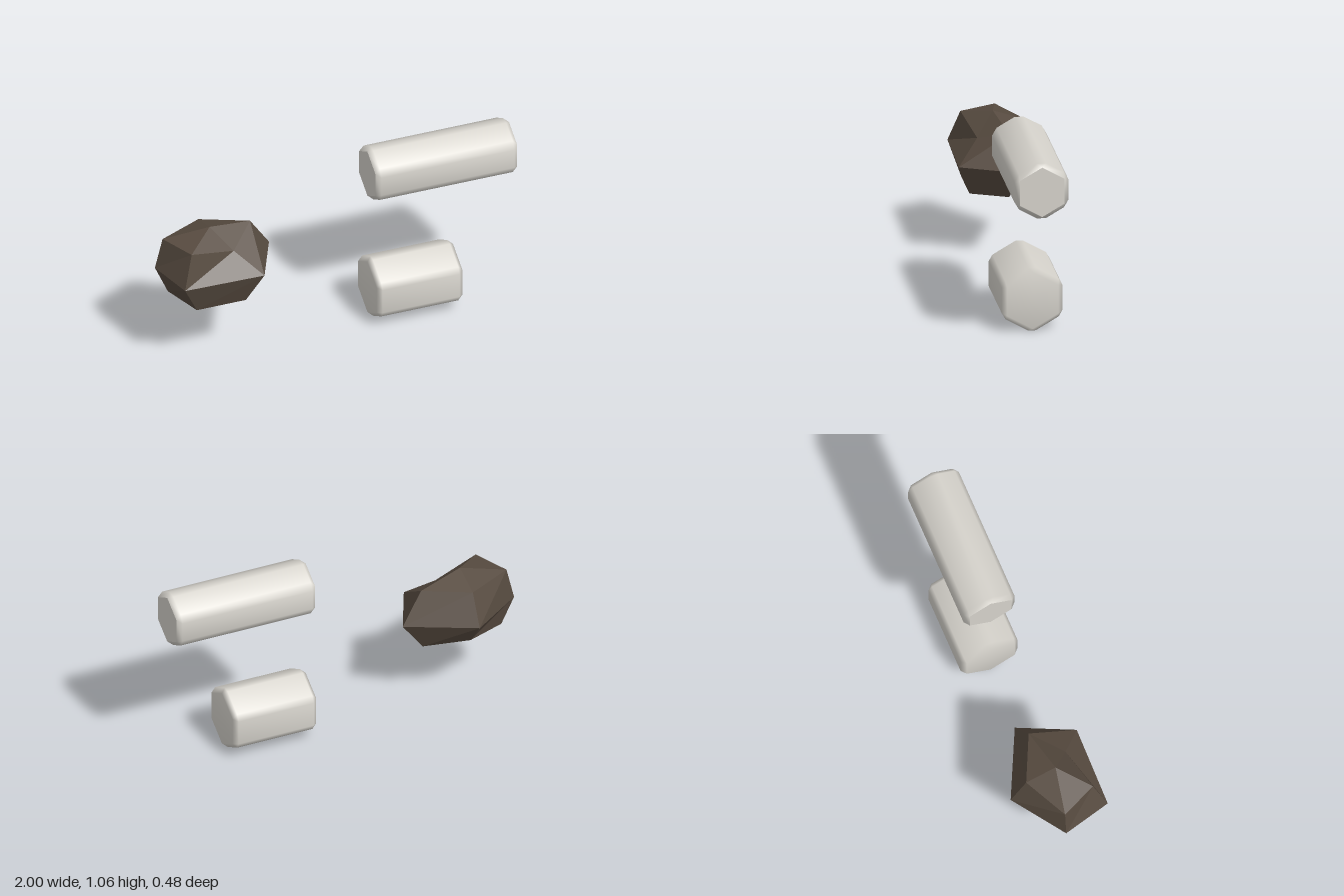
import * as THREE from 'three';
import { mergeVertices } from 'three/addons/utils/BufferGeometryUtils.js';

const stone = new THREE.MeshStandardMaterial({ color: 0xd6d3cc });
stone.name = 'pale stone';
const rockBrown = new THREE.MeshStandardMaterial({ color: 0x574b40, flatShading: true });
rockBrown.name = 'dark rock';

// Skin over rings of equal length, each running anticlockwise about the loft direction
function loft(rings) {
  const n = rings[0].length;
  const positions = [];
  const addTriangle = (a, b, c) => {
    if (a.equals(b) || b.equals(c) || c.equals(a)) return;
    for (const p of [a, b, c]) positions.push(p.x, p.y, p.z);
  };
  for (let r = 0; r < rings.length - 1; r++) {
    const lower = rings[r], upper = rings[r + 1];
    for (let i = 0; i < n; i++) {
      const j = (i + 1) % n;
      addTriangle(lower[i], lower[j], upper[j]);
      addTriangle(lower[i], upper[j], upper[i]);
    }
  }
  let geometry = new THREE.BufferGeometry();
  geometry.setAttribute('position', new THREE.Float32BufferAttribute(positions, 3));
  geometry = mergeVertices(geometry, 1e-4);
  geometry.computeVertexNormals();
  return geometry;
}

function addMesh(group, name, geometry, material) {
  const mesh = new THREE.Mesh(geometry, material);
  mesh.name = name;
  group.add(mesh);
}

// Hexagonal bar along x with bevelled corners and ends
function hexBar({ name, x0, x1, y, z, radius, capRadius, spread, sharpCaps }) {
  const bevel = 0.025;
  // Six corners, each split into two points by the angle "spread"
  const ring = (x, r, split) => {
    const points = [];
    for (let i = 0; i < 6; i++) {
      for (const side of [-1, 1]) {
        const a = i * Math.PI / 3 + side * split;
        points.push(new THREE.Vector3(x, y + r * Math.cos(a), z + r * Math.sin(a)));
      }
    }
    return points;
  };
  const leftEnd = [ring(x0, 0, 0), ring(x0, capRadius, 0)];
  const rightEnd = [ring(x1, capRadius, 0), ring(x1, 0, 0)];
  const body = [
    leftEnd[1],
    ring(x0 + bevel, radius, spread),
    ring(x1 - bevel, radius, spread),
    rightEnd[0],
  ];

  const bar = new THREE.Group();
  bar.name = name;
  if (sharpCaps) {
    addMesh(bar, 'barBody', loft(body), stone);
    addMesh(bar, 'innerEndCap', loft(leftEnd), stone);
    addMesh(bar, 'outerEndCap', loft(rightEnd), stone);
  } else {
    addMesh(bar, 'barBody', loft([leftEnd[0], ...body, rightEnd[1]]), stone);
  }
  return bar;
}

// Faceted boulder: a wide waist, smaller rings above and below, and two blunt tips
function boulderGeometry() {
  const ring = (points) => points.map((p) => new THREE.Vector3(...p));
  const tip = (x, y, z) => ring(Array(5).fill([x, y, z]));
  return loft([
    tip(-0.71, 0.31, 0.02),
    ring([[-0.84, 0.36, 0.17], [-0.56, 0.36, 0.17], [-0.47, 0.36, -0.03], [-0.71, 0.39, -0.12], [-0.93, 0.38, -0.03]]),
    ring([[-0.93, 0.54, 0.23], [-0.48, 0.54, 0.24], [-0.34, 0.54, -0.06], [-0.71, 0.54, -0.24], [-1, 0.54, -0.04]]),
    ring([[-0.87, 0.72, 0.17], [-0.61, 0.655, 0.12], [-0.46, 0.72, -0.03], [-0.71, 0.715, -0.15], [-0.96, 0.72, -0.03]]),
    tip(-0.71, 0.77, 0.02),
  ]);
}

export function createModel() {
  const model = new THREE.Group();
  model.name = 'rockAndStoneBars';

  addMesh(model, 'boulder', boulderGeometry(), rockBrown);

  model.add(hexBar({
    name: 'longBar', x0: 0.19, x1: 1, y: 0.902, z: 0.025,
    radius: 0.157, capRadius: 0.14, spread: 0.16, sharpCaps: true,
  }));
  model.add(hexBar({
    name: 'shortBar', x0: 0.19, x1: 0.68, y: 0.178, z: 0.025,
    radius: 0.179, capRadius: 0.16, spread: 0.113, sharpCaps: false,
  }));
  return model;
}
